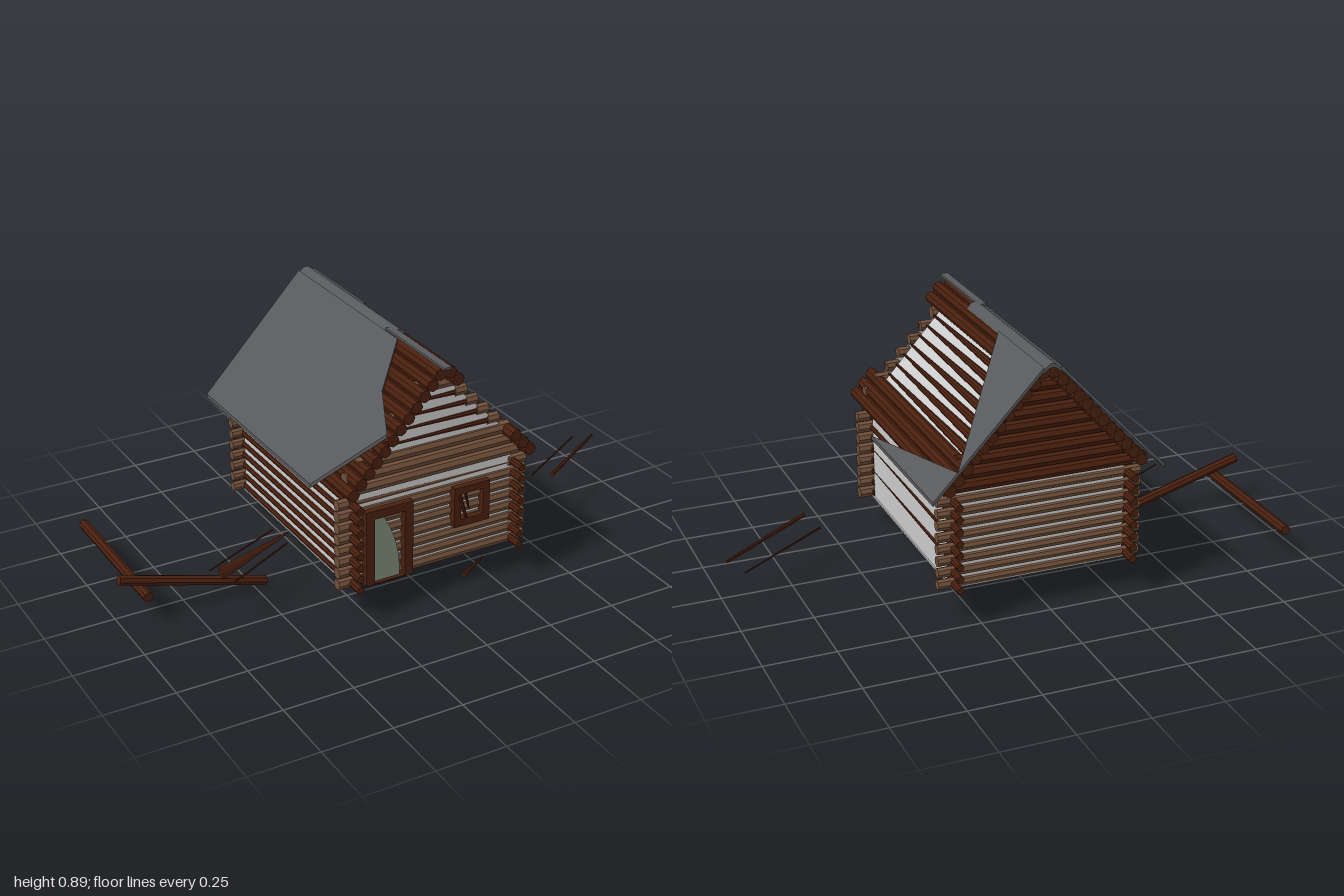
import * as THREE from 'three';

const CX = 0.015; // ridge line
const mat = (color, flat = true) =>
  new THREE.MeshStandardMaterial({ color, flatShading: flat, side: THREE.DoubleSide });
const dark = mat(0x4a200f), brown = mat(0x6f4f3a), sheetGrey = mat(0x58595c);
const plaster = mat(0xcccccc), green = mat(0x7d8b78);

export function createModel() {
  const root = new THREE.Group();
  const add = (name, geometry, material, parent = root) => {
    const m = new THREE.Mesh(geometry, material);
    m.name = name;
    parent.add(m);
    return m;
  };
  const group = (name) => {
    const g = new THREE.Group();
    g.name = name;
    root.add(g);
    return g;
  };
  // Log between two points, optionally tapering from r0 to r1
  const log = (name, a, b, r0, r1, material, parent) => {
    const p = new THREE.Vector3(...a), q = new THREE.Vector3(...b);
    const dir = q.clone().sub(p);
    const m = add(name, new THREE.CylinderGeometry(r1, r0, dir.length(), 8), material, parent);
    m.quaternion.setFromUnitVectors(new THREE.Vector3(0, 1, 0), dir.normalize());
    m.position.copy(p).add(q).multiplyScalar(0.5);
    return m;
  };
  const box = (name, x0, x1, y0, y1, z0, z1, material, parent) => {
    const m = add(name, new THREE.BoxGeometry(x1 - x0, y1 - y0, z1 - z0), material, parent);
    m.position.set((x0 + x1) / 2, (y0 + y1) / 2, (z0 + z1) / 2);
    return m;
  };
  const shape = (pts) => new THREE.Shape(pts.map((p) => new THREE.Vector2(...p)));
  const extrude = (s, depth) => new THREE.ExtrudeGeometry(s, { depth, bevelEnabled: false });

  // Floor and plaster between the logs
  box('floor', -0.31, 0.335, 0.118, 0.124, -0.44, 0.37, plaster);
  box('rightWallPanel', 0.318, 0.33, 0.12, 0.485, -0.41, 0.34, plaster);
  box('leftWallPanel', -0.306, -0.296, 0.12, 0.485, -0.41, 0.34, plaster);
  box('backWallPanel', -0.29, 0.32, 0.12, 0.48, -0.435, -0.428, plaster);
  box('frontWallPanel', -0.29, 0.32, 0.12, 0.48, 0.366, 0.374, plaster);
  const gable = [[CX - 0.28, 0.56], [CX + 0.28, 0.56], [CX, 0.84]];
  add('frontGablePanel', extrude(shape(gable), 0.006), plaster).position.z = 0.37;

  // Log walls
  const walls = group('logWalls');
  for (let i = 0; i < 8; i++) {
    const y = 0.136 + i * 0.0425;
    if (i < 7) log('frontLog', [-0.35, y, 0.365], [0.38, y, 0.365], 0.021, 0.021, brown, walls);
    else {
      for (const [a, b] of [[-0.35, -0.28], [0.31, 0.38]])
        log('frontLogEnd', [a, y, 0.365], [b, y, 0.365], 0.02, 0.02, brown, walls);
      log('frontLogSplinter', [-0.28, y - 0.005, 0.368], [0.31, y - 0.005, 0.368], 0.01, 0.007, brown, walls);
    }
    log('backLog', [-0.35, y, -0.43], [0.38, y, -0.43], 0.018, 0.018, brown, walls);
    log('leftLog', [-0.3, y, -0.505], [-0.3, y, 0.44], 0.014, 0.014, dark, walls);
    // Right wall is broken: stubs, splinters and one whole log
    const x = 0.325;
    if (i === 6) log('rightLog', [x, y, -0.505], [x, y, 0.44], 0.013, 0.013, dark, walls);
    else {
      log('rightLogStub', [x, y, 0.335], [x, y, 0.44], 0.013, 0.013, dark, walls);
      log('rightLogStub', [x, y, -0.505], [x, y, -0.405], 0.013, 0.013, dark, walls);
      if ([2, 4, 7].includes(i))
        log('rightLogSplinter', [x + 0.004, y, -0.41], [x + 0.004, y, 0.34], 0.009, 0.002, dark, walls);
    }
  }

  // Gable logs, shortening towards the ridge
  const gables = group('gables');
  for (let i = 0; i < 9; i++) {
    const y = 0.478 + i * 0.0445;
    const w = Math.min(0.335, (0.868 - y) * 0.975);
    log('backGableLog', [CX - w, y, -0.43], [CX + w, y, -0.43], 0.023, 0.023, dark, gables);
    if (i < 3 || i > 6) {
      log('frontGableLog', [CX - w, y, 0.365], [CX + w, y, 0.365], 0.023, 0.023, brown, gables);
    } else {
      for (const s of [-1, 1])
        log('gableLogEnd', [CX + s * (w - 0.045), y, 0.365], [CX + s * w, y, 0.365], 0.02, 0.02, brown, gables);
      log('gableSplinter', [CX - w, y, 0.372], [CX + w, y, 0.372], 0.005, 0.012, dark, gables);
    }
  }
  log('ridgeEnd', [CX - 0.03, 0.852, 0.365], [CX + 0.03, 0.852, 0.365], 0.016, 0.016, brown, gables);

  // Roof logs on both slopes; the middle of the right slope is splintered
  const roof = group('roof');
  for (const s of [-1, 1]) {
    for (let i = 0; i < 12; i++) {
      const x = CX + s * (0.34 - i * 0.0292), y = 0.497 + i * 0.0325;
      const broken = s > 0 && i > 2 && i < 10;
      if (broken) log('roofSplinter', [x, y, -0.5], [x, y, 0.33], 0.019, 0.004, dark, roof);
      else log('roofLog', [x, y, -0.5], [x, y, 0.44], 0.022, 0.022, dark, roof);
    }
    const lining = box('roofLining', -0.24, 0.24, -0.003, 0.003, -0.41, 0.335, plaster, roof);
    lining.position.set(CX + s * 0.172, 0.668, -0.037);
    lining.rotation.z = -s * Math.atan2(0.0325, 0.0292);
  }

  // Torn roof sheets: outline in plan (x, z), lifted onto the slope
  const sheet = (name, pts) => {
    const g = extrude(shape(pts.map(([x, z]) => [x, -z])), 0.014);
    const p = g.attributes.position;
    for (let i = 0; i < p.count; i++) {
      const x = p.getX(i);
      const h = 0.87 - (Math.abs(x - CX) - 0.03) * 1.06;
      p.setXYZ(i, x, h + p.getZ(i), -p.getY(i));
    }
    g.computeVertexNormals();
    add(name, g, sheetGrey, roof);
  };
  sheet('leftRoofSheet', [[-0.395, -0.525], [-0.395, 0.27], [-0.2, 0.435], [-0.13, 0.28], [-0.015, 0.18], [-0.015, -0.525]]);
  sheet('rightRoofSheet', [[0.045, -0.525], [0.045, -0.15], [0.34, -0.525]]);
  sheet('rightEaveSheet', [[0.34, -0.525], [0.425, 0.07], [0.425, -0.525]]);
  const cap = new THREE.Shape();
  cap.moveTo(-0.015, 0.872);
  cap.quadraticCurveTo(CX, 0.916, 0.045, 0.872);
  cap.lineTo(0.045, 0.86);
  cap.quadraticCurveTo(CX, 0.9, -0.015, 0.86);
  add('ridgeCap', extrude(cap, 0.66), sheetGrey, roof).position.z = -0.525;
  box('ridgeStrip', -0.014, 0.014, 0.885, 0.893, 0.1, 0.475, sheetGrey, roof);

  // Door and window
  const frame = (name, x0, x1, y0, y1, t, bottom) => {
    const s = shape([[x0, y0], [x1, y0], [x1, y1], [x0, y1]]);
    s.holes.push(shape([[x0 + t, y0 + bottom], [x0 + t, y1 - t], [x1 - t, y1 - t], [x1 - t, y0 + bottom]]));
    add(name, extrude(s, 0.045), dark).position.z = 0.36;
  };
  frame('doorFrame', -0.26, -0.08, 0.12, 0.4, 0.032, 0.004);
  frame('windowFrame', 0.08, 0.22, 0.25, 0.4, 0.026, 0.026);
  const door = new THREE.Shape();
  door.moveTo(-0.228, 0.122);
  door.lineTo(-0.125, 0.122);
  door.quadraticCurveTo(-0.12, 0.26, -0.19, 0.368);
  door.lineTo(-0.228, 0.368);
  add('brokenDoor', extrude(door, 0.004), green).position.z = 0.387;
  log('windowSplinter', [0.1, 0.37, 0.4], [0.135, 0.265, 0.4], 0.01, 0.004, dark);
  log('windowSplinter', [0.125, 0.375, 0.4], [0.14, 0.31, 0.4], 0.006, 0.003, dark);

  // Fallen logs and splinters on the ground around
  const debris = group('debris');
  log('fallenLog', [-0.995, 0.175, 0.045], [-0.46, 0.02, 0.045], 0.018, 0.018, dark, debris);
  log('fallenLog', [-0.915, 0.115, -0.47], [-0.915, 0.115, 0.1], 0.018, 0.018, dark, debris);
  const splinters = [
    [[-0.69, 0.187, 0.19], [-0.36, 0.172, 0.03], 0.022, 0.003],
    [[-0.7, 0.165, 0.12], [-0.38, 0.15, -0.05], 0.003, 0.003],
    [[-0.66, 0.163, 0.225], [-0.38, 0.15, 0.06], 0.004, 0.003],
    [[0.655, 0.189, 0.15], [0.99, 0.172, -0.07], 0.008, 0.005],
    [[0.62, 0.165, 0.077], [0.945, 0.15, -0.13], 0.004, 0.003],
    [[0.06, 0.126, 0.505], [0.175, 0.13, 0.44], 0.008, 0.003],
  ];
  for (const [a, b, r0, r1] of splinters)
    log('splinter', a, b, r0, r1, dark, debris).scale.z = r0 > 0.02 ? 0.3 : 1;

  return root;
}
